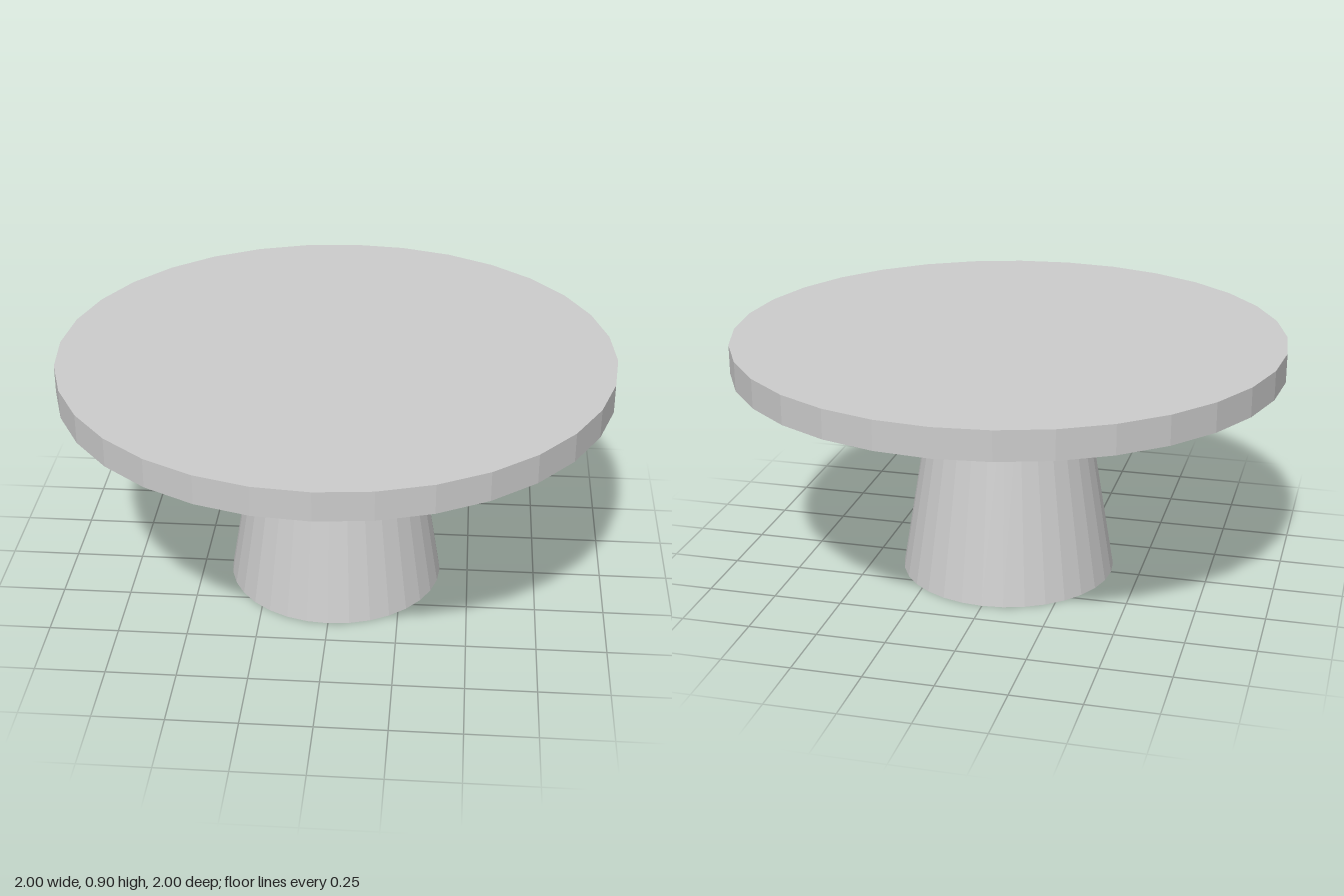
import * as THREE from 'three';

const SIDES = 32;
const TOP_Y = 0.905;      // upper face of the table top
const UNDERSIDE_Y = 0.8;  // where the pedestal meets the top

export function createModel() {
  const group = new THREE.Group();
  group.name = 'pedestalTable';
  const material = new THREE.MeshStandardMaterial({ color: 0xcccccc, flatShading: true });

  // Faceted round part standing between two heights
  function addRound(name, topRadius, bottomRadius, y0, y1) {
    const geometry = new THREE.CylinderGeometry(topRadius, bottomRadius, y1 - y0, SIDES);
    const mesh = new THREE.Mesh(geometry, material);
    mesh.name = name;
    mesh.position.y = (y0 + y1) / 2;
    group.add(mesh);
  }

  // Round table top
  addRound('tableTop', 1, 1, UNDERSIDE_Y, TOP_Y);
  // Tapered pedestal, wider at the floor
  addRound('pedestal', 0.263, 0.395, 0, UNDERSIDE_Y);

  return group;
}
